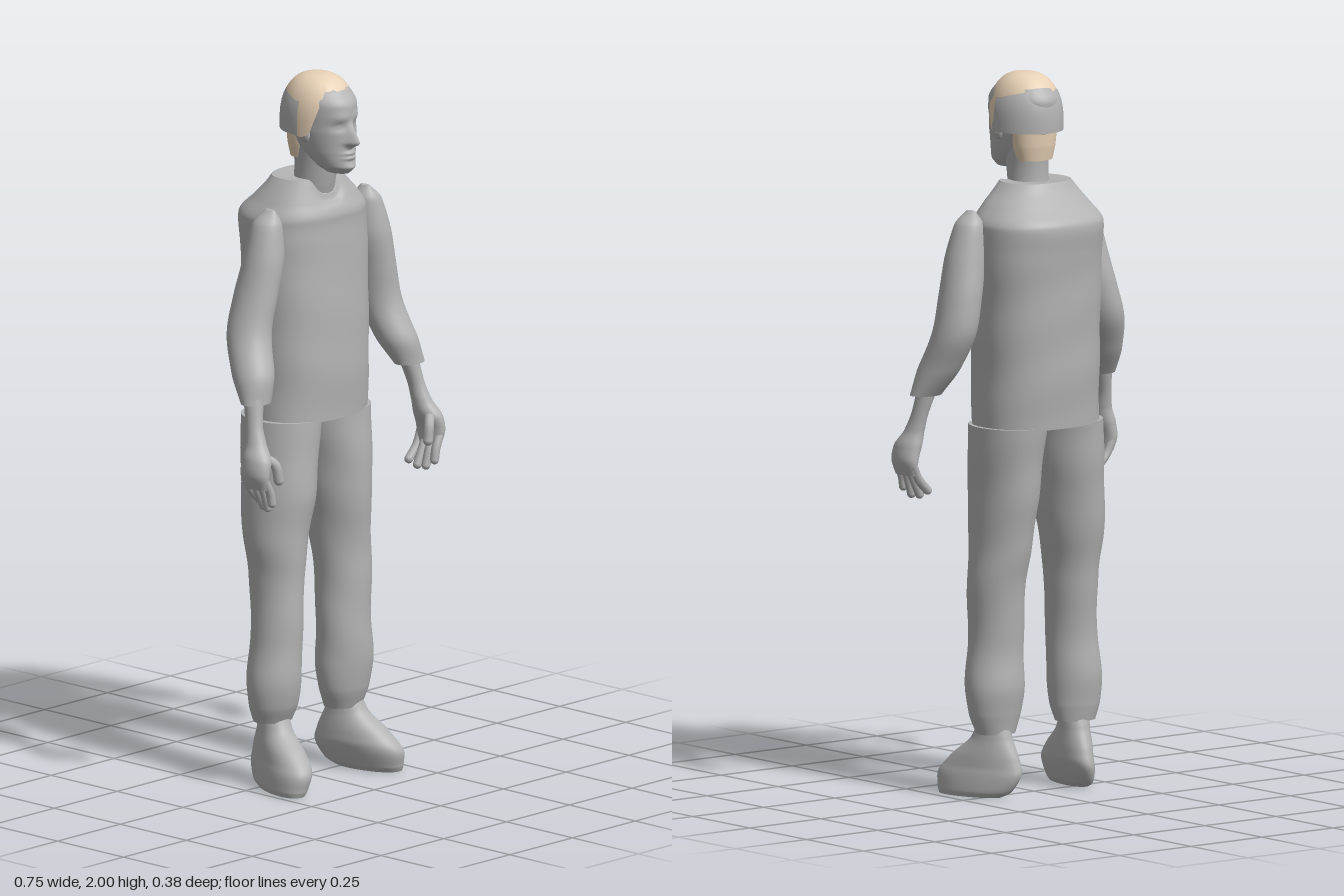
import * as THREE from 'three';

const cloth = new THREE.MeshStandardMaterial({ color: 0xb3b3b3, side: THREE.DoubleSide });
cloth.name = 'plain grey';
const blond = new THREE.MeshStandardMaterial({ color: 0xe8d2b6, side: THREE.DoubleSide });
blond.name = 'blond hair';

const spow = (v, p) => Math.sign(v) * Math.abs(v) ** p;
const bump = (d, w) => Math.exp(-((d / w) ** 2));

// Grid of points closed around, rows going up; point(u, a) gives a position
function skin(name, mat, rows, cols, point, { closed = true, bottom = false, top = false, a0 = 0, a1 = Math.PI * 2 } = {}) {
  const pos = [], idx = [], n = closed ? cols : cols + 1;
  for (let i = 0; i <= rows; i++)
    for (let j = 0; j < n; j++) pos.push(...point(i / rows, a0 + (a1 - a0) * j / cols));
  for (let i = 0; i < rows; i++)
    for (let j = 0; j < cols; j++) {
      const k = (j + 1) % n, a = i * n + j, b = i * n + k;
      idx.push(a, b, b + n, a, b + n, a + n);
    }
  // Flat caps use their own corners so that the rim stays sharp
  const cap = (row, up) => {
    const base = pos.length / 3, c = [0, 0, 0];
    for (let j = 0; j < n; j++)
      for (let k = 0; k < 3; k++) {
        const v = pos[(row * n + j) * 3 + k];
        pos.push(v);
        c[k] += v / n;
      }
    pos.push(...c);
    for (let j = 0; j < n; j++) {
      const a = base + j, b = base + (j + 1) % n;
      idx.push(base + n, up ? a : b, up ? b : a);
    }
  };
  if (bottom) cap(0, false);
  if (top) cap(rows, true);
  const g = new THREE.BufferGeometry();
  g.setAttribute('position', new THREE.Float32BufferAttribute(pos, 3));
  g.setIndex(idx);
  g.computeVertexNormals();
  const m = new THREE.Mesh(g, mat);
  m.name = name;
  return m;
}

// Smooth body through level rings [y, centre x, centre z, radius x, radius z], lowest first
function loft(name, rings, { power = 2, rows = 40, cols = 40, rule = p => p, mat = cloth } = {}) {
  const centre = new THREE.CatmullRomCurve3(rings.map(r => new THREE.Vector3(r[1], r[0], r[2])));
  const size = new THREE.CatmullRomCurve3(rings.map(r => new THREE.Vector3(r[3], 0, r[4])));
  return skin(name, mat, rows, cols, (u, a) => {
    const c = centre.getPoint(u), s = size.getPoint(u);
    return rule([c.x + s.x * spow(Math.sin(a), 2 / power), c.y, c.z + s.z * spow(Math.cos(a), 2 / power)], a);
  }, { bottom: true, top: true });
}

// Gentle cloth folds
const folds = (cx, amount) => ([x, y, z], a) => {
  const f = 1 + amount * Math.sin(y * 34 + 2 * Math.sin(a + cx * 9));
  return [cx + (x - cx) * f, y, z * f];
};

// Part of a rounded dome between two heights that depend on the direction
function dome(name, mat, [cx, cy, cz], [rx, ry, rz], low, high, opts) {
  const q = 2 / 2.5, angle = y => Math.acos(spow(THREE.MathUtils.clamp((y - cy) / ry, -1, 1), 1 / q));
  return skin(name, mat, 18, 56, (u, a) => {
    const t = THREE.MathUtils.lerp(angle(low(a)), angle(high(a)), u), r = spow(Math.sin(t), q);
    return [cx + rx * r * Math.sin(a), cy + ry * spow(Math.cos(t), q), cz + rz * r * Math.cos(a)];
  }, opts);
}

// Nose, brow, eye sockets, lips and chin pushed out of the front of the head
function face([x, y, z]) {
  if (z > 0.08) {
    const nose = y > 1.82 ? Math.max(0, (1.88 - y) / 0.06) : Math.max(0, (y - 1.802) / 0.018);
    const d = Math.abs(x - 0.005);
    z += 0.036 * nose * bump(d, 0.008 + 0.008 * nose)
      + 0.004 * bump(y - 1.892, 0.012) * bump(d - 0.03, 0.025)
      - 0.008 * bump(y - 1.866, 0.011) * bump(d - 0.033, 0.017)
      + 0.004 * bump(y - 1.865, 0.005) * bump(d - 0.033, 0.01)
      + 0.007 * (bump(y - 1.789, 0.005) + bump(y - 1.776, 0.005)) * bump(d, 0.022)
      + 0.006 * bump(y - 1.747, 0.012) * bump(d, 0.022);
  }
  return [x, y, z];
}

function head() {
  const g = new THREE.Group();
  g.name = 'head';
  g.add(loft('face', [
    [1.73, 0.005, 0.105, 0.026, 0.038], [1.75, 0.005, 0.092, 0.046, 0.066], [1.79, 0.005, 0.065, 0.064, 0.09],
    [1.85, 0.005, 0.045, 0.078, 0.11], [1.92, 0.005, 0.04, 0.083, 0.114], [1.96, 0.005, 0.035, 0.072, 0.09],
    [1.985, 0.005, 0.03, 0.035, 0.05]], { rows: 80, cols: 80, rule: face }));
  g.add(loft('neck', [
    [1.6, 0.008, -0.005, 0.06, 0.06], [1.655, 0.008, 0.008, 0.058, 0.06], [1.69, 0.006, 0.017, 0.055, 0.06],
    [1.74, 0.005, 0.023, 0.054, 0.064], [1.8, 0.005, 0.025, 0.058, 0.07]]));
  for (const s of [-1, 1]) {
    const ear = new THREE.Mesh(new THREE.SphereGeometry(1, 16, 12), cloth);
    ear.name = 'ear';
    ear.scale.set(0.012, 0.03, 0.018);
    ear.position.set(0.005 + s * 0.08, 1.845, 0.055);
    ear.rotation.z = -s * 0.15;
    g.add(ear);
  }
  // Hair: high fringe with a small peak, long temples, then a grey band behind and a blond nape
  const edge = a => {
    const d = Math.min(a, Math.PI * 2 - a);
    const fringe = 1.964 - 0.012 * bump(d, 0.13) + 0.003 * Math.sin(d * 21);
    return fringe - 0.128 * THREE.MathUtils.smoothstep(d, 0.6, 1.3) + 0.04 * THREE.MathUtils.smoothstep(d, 1.6, 2);
  };
  g.add(dome('hair', blond, [0.003, 1.865, 0.035], [0.094, 0.135, 0.11], edge, () => 2));
  g.add(dome('hairBand', cloth, [0.003, 1.86, 0.037], [0.101, 0.135, 0.115], () => 1.84,
    a => 1.935 + 0.025 * Math.max(0, -Math.cos(a)), { closed: false, a0: 1.47, a1: Math.PI * 2 - 1.47 }));
  g.add(loft('napeHair', [
    [1.76, 0.004, -0.008, 0.054, 0.04], [1.8, 0.004, -0.005, 0.064, 0.05], [1.86, 0.004, 0, 0.072, 0.06]], { mat: blond }));
  return g;
}

// Hand of the +x side when s = 1; bent fingers and a thumb
function hand(s) {
  const g = new THREE.Group();
  g.name = s > 0 ? 'leftHand' : 'rightHand';
  g.add(loft('palm', [
    [0.9, 0.345, 0.13, 0.018, 0.042], [0.94, 0.35, 0.13, 0.027, 0.049], [0.98, 0.341, 0.128, 0.032, 0.047],
    [1.02, 0.33, 0.115, 0.026, 0.032], [1.07, 0.322, 0.1, 0.022, 0.026], [1.15, 0.305, 0.083, 0.028, 0.03]]
    .map(r => [r[0], r[1] * s, ...r.slice(2)])));
  const digit = (name, pts, r) => {
    const curve = new THREE.CatmullRomCurve3(pts.map(p => new THREE.Vector3(p[0] * s, p[1], p[2])));
    const m = new THREE.Mesh(new THREE.TubeGeometry(curve, 10, r, 10), cloth);
    m.name = name;
    const tip = new THREE.Mesh(new THREE.SphereGeometry(r, 10, 8), cloth);
    tip.name = name + 'Tip';
    tip.position.copy(curve.getPoint(1));
    g.add(m, tip);
  };
  for (let i = 0; i < 4; i++) {
    const z = 0.093 + i * 0.024, drop = [0.855, 0.842, 0.842, 0.86][i];
    digit('finger', [[0.35, 0.93, z], [0.33, 0.89, z + 0.003], [0.297 + 0.009 * i, drop, z + 0.004]], 0.0125);
  }
  digit('thumb', [[0.335, 0.99, 0.14], [0.307, 0.965, 0.165], [0.297, 0.92, 0.17]], 0.014);
  return g;
}

export function createModel() {
  const model = new THREE.Group();
  model.name = 'standingMan';

  // Shirt body with a scooped front collar
  const shirtFolds = folds(0.015, 0.006);
  model.add(loft('shirt', [
    [1.03, 0.012, -0.02, 0.184, 0.136], [1.2, 0.015, -0.024, 0.182, 0.146], [1.4, 0.019, -0.032, 0.184, 0.146],
    [1.52, 0.021, -0.039, 0.187, 0.146], [1.595, 0.021, -0.043, 0.184, 0.149], [1.645, 0.015, -0.028, 0.152, 0.118],
    [1.68, 0.008, -0.017, 0.122, 0.094], [1.705, 0.005, -0.012, 0.1, 0.083]], {
    power: 2.35, rows: 70, cols: 72,
    rule: (p, a) => {
      const [x, y, z] = shirtFolds(p, a);
      const dip = z > 0 ? 0.045 * bump((x - 0.004) ** 2, 0.0022) * THREE.MathUtils.smoothstep(y, 1.62, 1.7) : 0;
      return [x, y - dip, z];
    },
  }));
  model.add(head());

  // Sleeves: heights and depths are shared, sideways positions differ per side
  const sleeve = [
    [1.125, 0.082, 0.048, 0.036], [1.2, 0.054, 0.058, 0.061], [1.3, 0.01, 0.059, 0.065], [1.4, 0.005, 0.057, 0.065],
    [1.5, 0.01, 0.056, 0.059], [1.6, 0.01, 0.038, 0.043], [1.635, 0.012, 0.008, 0.016]];
  const sleeveX = {
    right: [-0.295, -0.278, -0.247, -0.216, -0.19, -0.175, -0.165],
    left: [0.315, 0.29, 0.273, 0.256, 0.236, 0.22, 0.212],
  };
  // Trouser legs: height, inner x, outer x, back z, front z
  const legs = {
    right: [[0.185, -0.21, -0.09, -0.04, 0.055], [0.23, -0.225, -0.08, -0.05, 0.075], [0.31, -0.232, -0.074, -0.06, 0.088],
      [0.42, -0.215, -0.075, -0.056, 0.09], [0.6, -0.206, -0.064, -0.075, 0.09], [0.7, -0.217, -0.045, -0.095, 0.095],
      [0.82, -0.21, -0.022, -0.115, 0.107], [1.035, -0.19, 0.012, -0.14, 0.1]],
    left: [[0.175, 0.07, 0.185, -0.04, 0.055], [0.23, 0.05, 0.205, -0.05, 0.075], [0.31, 0.04, 0.215, -0.06, 0.088],
      [0.42, 0.042, 0.2, -0.056, 0.09], [0.6, 0.045, 0.206, -0.075, 0.09], [0.7, 0.036, 0.2, -0.095, 0.095],
      [0.82, 0.025, 0.2, -0.115, 0.107], [1.035, 0.008, 0.21, -0.14, 0.1]],
  };

  for (const [side, s] of [['right', -1], ['left', 1]]) {
    model.add(loft(side + 'Sleeve', sleeve.map((r, i) => [r[0], sleeveX[side][i], ...r.slice(1)])));
    model.add(hand(s));
    model.add(loft(side + 'Leg',
      legs[side].map(([y, x0, x1, z0, z1]) => [y, (x0 + x1) / 2, (z0 + z1) / 2, (x1 - x0) / 2, (z1 - z0) / 2]),
      { rows: 64, rule: folds(s * 0.13, 0.012) }));

    // Shoe, broader at the toe, turned outwards, with a rounded heel and a sole leaning out
    const shoe = loft(side + 'Shoe', [
      [0, 0, 0.074, 0.042, 0.1], [0.015, 0, 0.062, 0.05, 0.118], [0.06, 0, 0.05, 0.056, 0.134],
      [0.11, 0, 0.033, 0.054, 0.107], [0.16, 0, 0.013, 0.046, 0.064], [0.21, 0, 0.008, 0.042, 0.043]],
      { power: 2.1, rule: ([x, y, z]) => [x * (0.9 + z * 1.3) + s * 0.2 * Math.max(0, 0.08 - y), y, z] });
    shoe.position.x = s < 0 ? -0.146 : 0.134;
    shoe.rotation.y = s * 0.27;
    model.add(shoe);
  }
  return model;
}
